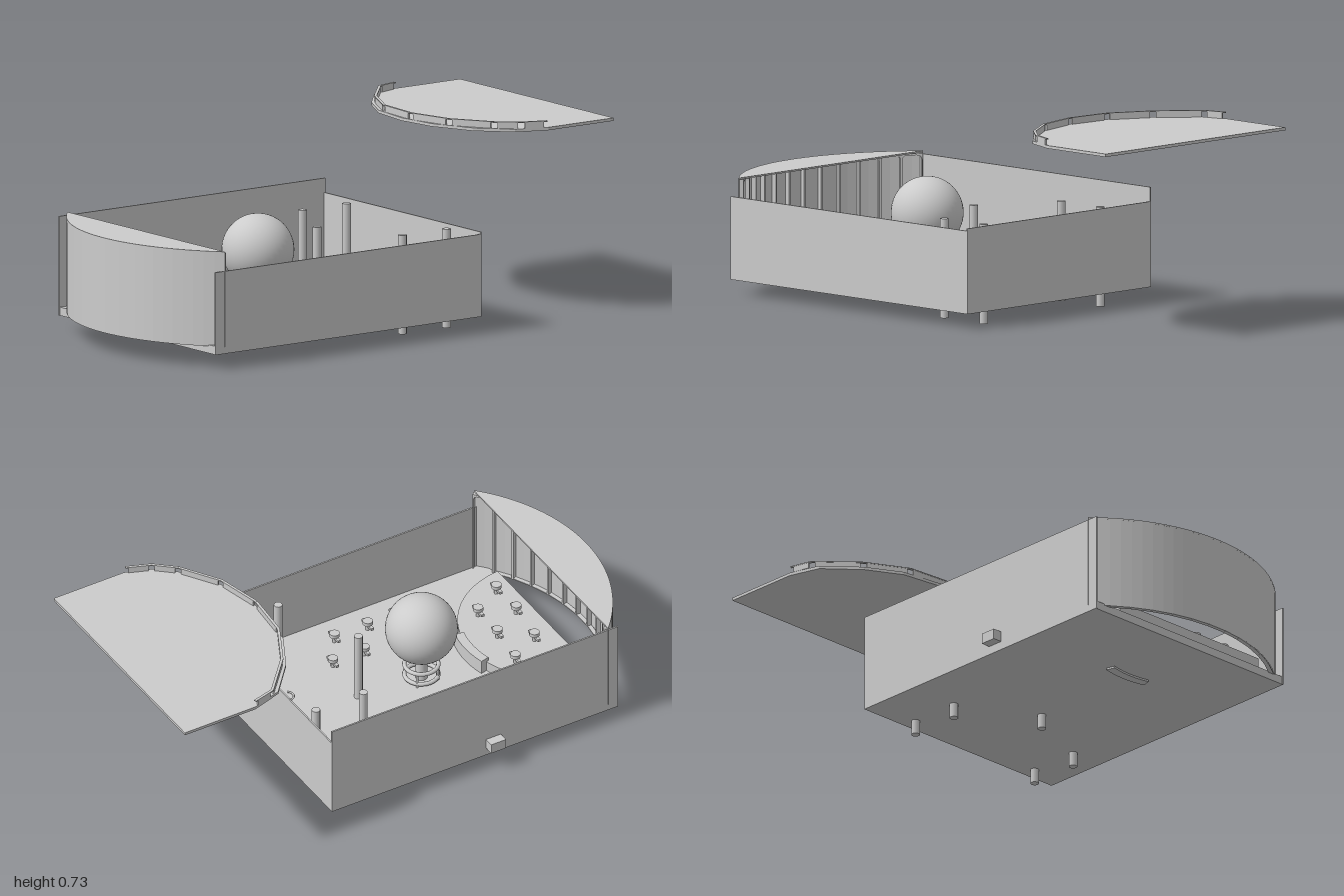
import * as THREE from 'three';

const mat = new THREE.MeshStandardMaterial({ color: 0xcccccc, side: THREE.DoubleSide });
const flat = new THREE.MeshStandardMaterial({ color: 0xcccccc, side: THREE.DoubleSide, flatShading: true });

function add(parent, name, geometry, x = 0, y = 0, z = 0, material = mat) {
  const mesh = new THREE.Mesh(geometry, material);
  mesh.name = name;
  mesh.position.set(x, y, z);
  parent.add(mesh);
  return mesh;
}

// Box given by its limits on each axis
function block(parent, name, x0, x1, y0, y1, z0, z1) {
  return add(parent, name, new THREE.BoxGeometry(x1 - x0, y1 - y0, z1 - z0),
    (x0 + x1) / 2, (y0 + y1) / 2, (z0 + z1) / 2);
}

// Plan shape (x, z) extruded downwards from a top height
function slab(parent, name, shape, top, height, curveSegments = 24) {
  const g = new THREE.ExtrudeGeometry(shape, { depth: height, bevelEnabled: false, curveSegments });
  return add(parent, name, g.rotateX(Math.PI / 2), 0, top, 0, flat);
}

function part(parent, name) {
  const g = new THREE.Group();
  g.name = name;
  parent.add(g);
  return g;
}

function buildBox(root) {
  const box = part(root, 'openBox');
  block(box, 'floor', -0.85, 0.355, 0.054, 0.085, -0.455, 0.488);
  block(box, 'frontWall', -0.853, 0.355, 0.054, 0.358, 0.482, 0.488);
  block(box, 'backWall', -0.853, 0.355, 0.054, 0.42, -0.455, -0.449);
  block(box, 'rightEndWall', 0.349, 0.355, 0.054, 0.367, -0.455, 0.488);
  block(box, 'socket', -0.357, -0.295, 0.086, 0.125, -0.492, -0.45);
  block(box, 'socketPin', -0.322, -0.308, 0.1, 0.112, -0.45, -0.41);
}

// Curved end wall with a row of arched niches and a flat cover
function buildShell(root) {
  const shell = part(root, 'curvedShell');
  const R = 0.684, cx = -0.316, cz = 0.017, half = 0.764, count = 13, y0 = 0.08, y1 = 0.43;
  add(shell, 'shellWall', new THREE.CylinderGeometry(R, R, y1 - y0, 26, 1, true, 1.5 * Math.PI - half, 2 * half),
    cx, (y0 + y1) / 2, cz, flat);

  const cover = new THREE.Shape();
  cover.absarc(cx, cz, R, Math.PI - half, Math.PI + half, false);
  slab(shell, 'shellCover', cover, y1, 0.006, 26);

  const step = 2 * half / count, r = R - 0.018, w = r * Math.sin(step / 2), h = y1 - y0 - 0.006;
  const frame = new THREE.Shape([[-w, 0], [w, 0], [w, h], [-w, h]].map(p => new THREE.Vector2(...p)));
  const a = w - 0.004, t = h - 0.008, c = 0.018;
  const hole = new THREE.Path();
  hole.moveTo(-a, 0.004);
  hole.lineTo(-a, t - c);
  hole.quadraticCurveTo(-a, t, -a + c, t);
  hole.lineTo(a - c, t);
  hole.quadraticCurveTo(a, t, a, t - c);
  hole.lineTo(a, 0.004);
  frame.holes.push(hole);
  const niche = new THREE.ExtrudeGeometry(frame, { depth: 0.016, bevelEnabled: false, curveSegments: 5 });
  niche.translate(0, 0, -0.016);
  for (let i = 0; i < count; i++) {
    const ang = -half + (i + 0.5) * step;
    const d = r * Math.cos(step / 2);
    add(shell, 'nicheFrame', niche, cx - d * Math.cos(ang), y0, cz + d * Math.sin(ang), flat)
      .rotation.y = ang + Math.PI / 2;
  }
}

// Rounded stage with a curved block at its edge
function buildStage(root) {
  const stage = part(root, 'stage');
  const cx = -0.87, cz = 0.025, R = 0.35, end = Math.acos(0.03 / R);
  const plan = new THREE.Shape();
  plan.absarc(cx, cz, R, -end, end, false);
  slab(stage, 'stagePlatform', plan, 0.125, 0.045);
  const step = new THREE.Shape();
  step.absarc(cx, cz, R + 0.025, -0.255, 0.255, false);
  step.absarc(cx, cz, R - 0.01, 0.255, -0.255, true);
  slab(stage, 'stageStep', step, 0.14, 0.093, 3);
}

// Large ball on a stem with two rings
function buildBall(root) {
  const ball = part(root, 'ballOnStem');
  ball.position.set(-0.31, 0, 0.025);
  add(ball, 'ball', new THREE.SphereGeometry(0.132, 40, 28), 0, 0.308, 0);
  add(ball, 'stem', new THREE.CylinderGeometry(0.022, 0.022, 0.12, 16), 0, 0.135, 0);
  for (const y of [0.1, 0.145])
    add(ball, 'ring', new THREE.TorusGeometry(0.062, 0.008, 8, 28).rotateX(Math.PI / 2), 0, y, 0);
  for (let i = 0; i < 4; i++) {
    const a = i * Math.PI / 2 + Math.PI / 4;
    add(ball, 'ringSupport', new THREE.CylinderGeometry(0.005, 0.005, 0.06, 6),
      0.062 * Math.cos(a), 0.115, 0.062 * Math.sin(a));
  }
}

// Posts that pass through the floor and serve as feet
function buildPosts(root) {
  const g = new THREE.CylinderGeometry(0.016, 0.016, 0.364, 12);
  for (const [x, z] of [[0.1, -0.25], [0.3, -0.25], [0.1, 0.35], [0.3, 0.35], [-0.055, 0.043]])
    add(root, 'post', g, x, 0.182, z);
}

// Small round pegs, each with a short cross bar
function buildPegs(root) {
  const pegs = part(root, 'pegs');
  const head = new THREE.CylinderGeometry(0.019, 0.019, 0.014, 14);
  const leg = new THREE.CylinderGeometry(0.008, 0.008, 0.03, 8);
  const bar = new THREE.BoxGeometry(0.012, 0.01, 0.068);
  const peg = (x, z, y) => {
    const p = part(pegs, 'peg');
    p.position.set(x, y, z);
    add(p, 'pegLeg', leg, 0, 0.014, 0);
    add(p, 'pegHead', head, 0, 0.033, 0);
    add(p, 'pegBar', bar, 0, 0.022, 0);
  };
  for (const [outer, inner] of [[-0.292, -0.172], [0.243, 0.365]]) {
    for (const x of [-0.505, -0.36, -0.2, -0.067]) peg(x, outer, 0.085);
    for (const x of [-0.402, -0.287, -0.147]) peg(x, inner, 0.085);
  }
  for (const [x, z] of [[-0.745, -0.225], [-0.745, -0.045], [-0.77, 0.125], [-0.77, 0.265],
    [-0.62, -0.12], [-0.64, 0.04], [-0.645, 0.185]]) peg(x, z, 0.125);
}

// Split loops lying on the floor
function buildLoops(root) {
  for (const [x, z, turn] of [[0.256, -0.045, 0], [0.192, 0.175, 0.9]]) {
    const loop = part(root, 'splitLoop');
    loop.position.set(x, 0.1, z);
    loop.rotation.y = turn;
    for (const s of [-1, 1])
      add(loop, 'halfLoop', new THREE.TorusGeometry(0.026, 0.004, 6, 14, Math.PI)
        .rotateX(s * Math.PI / 2), 0, 0, s * 0.02);
  }
}

// Floating lid with a slotted rail along its curved edge
function buildLid(root) {
  const lid = part(root, 'lid');
  const edge = [[1, -0.495], [0.703, -0.495], [0.585, -0.46], [0.478, -0.337], [0.409, -0.203], [0.388, -0.034],
    [0.409, 0.118], [0.478, 0.273], [0.585, 0.385], [0.703, 0.428], [1, 0.428]];
  slab(lid, 'lidPlate', new THREE.Shape(edge.map(p => new THREE.Vector2(...p))), 0.702, 0.011);

  const rail = [[0.7, -0.49], [0.615, -0.468], [0.49, -0.328], [0.41, -0.17], [0.397, 0.008],
    [0.44, 0.18], [0.535, 0.325], [0.61, 0.39], [0.7, 0.425]];
  for (let i = 0; i < rail.length - 1; i++) {
    const [x0, z0] = rail[i], [x1, z1] = rail[i + 1];
    const len = Math.hypot(x1 - x0, z1 - z0), turn = Math.atan2(x1 - x0, z1 - z0);
    const x = (x0 + x1) / 2, z = (z0 + z1) / 2;
    add(lid, 'railPanel', new THREE.BoxGeometry(0.008, 0.022, len - 0.024), x, 0.713, z).rotation.y = turn;
    add(lid, 'railTop', new THREE.BoxGeometry(0.01, 0.004, len), x, 0.725, z).rotation.y = turn;
  }
}

export function createModel() {
  const root = new THREE.Group();
  root.name = 'model';
  buildBox(root);
  buildShell(root);
  buildStage(root);
  buildBall(root);
  buildPosts(root);
  buildPegs(root);
  buildLoops(root);
  buildLid(root);
  return root;
}
